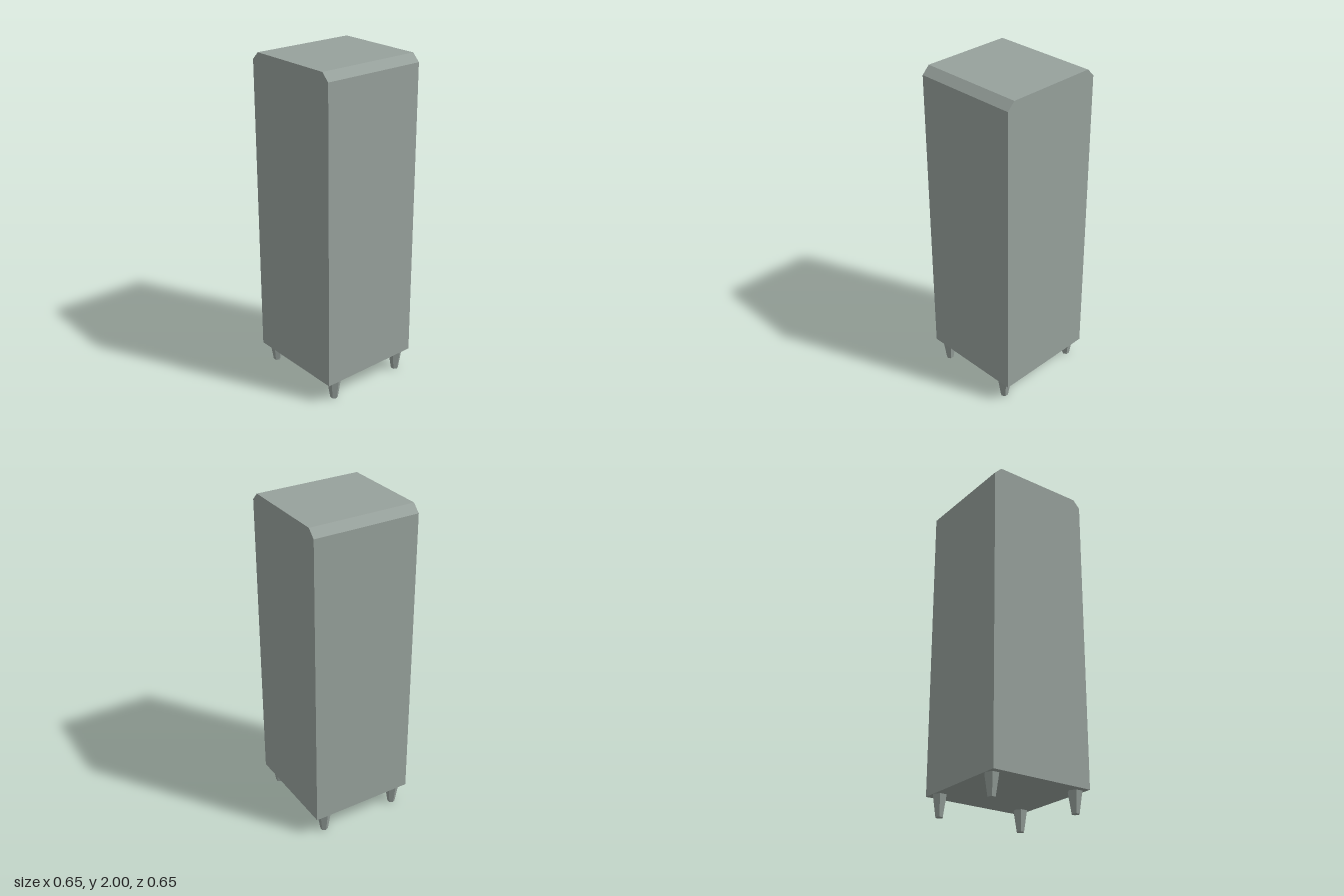
import * as THREE from 'three';

export function createModel() {
  const group = new THREE.Group();
  const greyGreen = new THREE.MeshStandardMaterial({ color: 0x97a19c, flatShading: true });
  greyGreen.name = 'grey green';

  const half = 0.325, base = 0.127, height = 2, bevel = 0.046;

  // Cabinet body: front outline with chamfered top corners, extruded in depth
  const outline = new THREE.Shape([
    [-half, base], [half, base], [half, height - bevel],
    [half - bevel, height], [bevel - half, height], [-half, height - bevel],
  ].map(([x, y]) => new THREE.Vector2(x, y)));
  const bodyGeometry = new THREE.ExtrudeGeometry(outline, { depth: half * 2, bevelEnabled: false });
  bodyGeometry.translate(0, 0, -half);
  const body = new THREE.Mesh(bodyGeometry, greyGreen);
  body.name = 'body';
  group.add(body);

  // Four tapered six-sided legs, with corners pointing sideways
  const legGeometry = new THREE.CylinderGeometry(0.043, 0.023, base, 6, 1, false, Math.PI / 2);
  for (const [end, z] of [['front', 0.25], ['back', -0.25]]) {
    for (const [side, x] of [['Left', 0.281], ['Right', -0.281]]) {
      const leg = new THREE.Mesh(legGeometry, greyGreen);
      leg.name = `${end}${side}Leg`;
      leg.position.set(x, base / 2, z);
      group.add(leg);
    }
  }
  return group;
}
